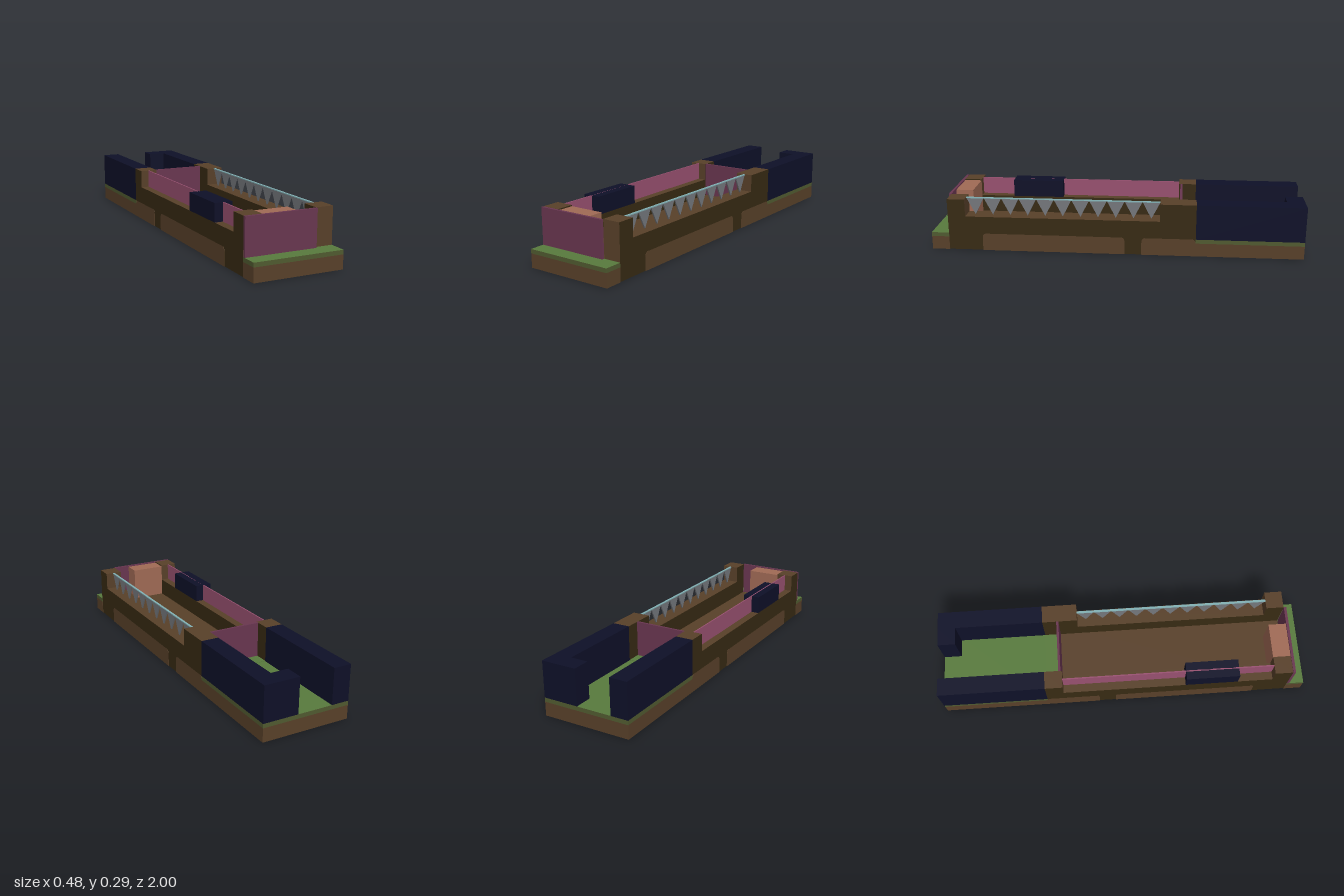
import * as THREE from 'three';

const mat = (name, color, side = THREE.FrontSide) => {
  const m = new THREE.MeshStandardMaterial({ color, side });
  m.name = name;
  return m;
};

export function createModel() {
  const root = new THREE.Group();
  root.name = 'gardenBridge';

  const earth = mat('earthBrown', 0x584029);
  const grass = mat('grassGreen', 0x587a3d);
  const grassSide = mat('grassEdge', 0x505a30);
  const dark = mat('darkWood', 0x372a13);
  const navy = mat('navyHedge', 0x0e1028);
  const plum = mat('plumPanel', 0x693650);
  const pink = mat('pinkPane', 0x985070);
  const clay = mat('clay', 0xa06a55);
  const grey = mat('greySpike', 0x74777c, THREE.DoubleSide);
  const cyan = mat('paleRail', 0x82b0b4);

  // The layout sits on a grid 5 cells wide, 3 high and 21 long
  const U = 2 / 21, W = 2.5 * U, IN = 1.5 * U, H = 3 * U;
  const backZ = -1 + 6 * U, frontZ = 1 - U;
  const timber = [dark, dark, earth, dark, earth, earth];

  // Box given by its low and high corners
  const box = (name, material, x0, x1, y0, y1, z0, z1) => {
    const mesh = new THREE.Mesh(new THREE.BoxGeometry(x1 - x0, y1 - y0, z1 - z0), material);
    mesh.position.set((x0 + x1) / 2, (y0 + y1) / 2, (z0 + z1) / 2);
    mesh.name = name;
    root.add(mesh);
    return mesh;
  };

  // Grassy earth at both ends
  for (const [name, z0, z1] of [['backLawn', -1, backZ], ['frontLawn', frontZ, 1]]) {
    box(name + 'Earth', earth, -W, W, 0, 0.073, z0, z1);
    box(name + 'Turf', [grassSide, grassSide, grass, grassSide, grassSide, grassSide], -W, W, 0.073, U, z0, z1);
  }

  // Timber deck between the lawns, grass reaching the rear panel
  box('deckBase', timber, -W + 0.002, W - 0.002, 0.001, U, backZ, frontZ);
  box('rearTurf', grass, -IN, IN, U, U + 0.002, backZ, -0.35);
  box('undersideStrip', earth, -W, -0.2, 0, 0.003, -0.05, 0.72);

  // Earth panels with rounded upper corners on both flanks
  const flankPanel = (zFront, zBack, side) => {
    const a = -zFront, b = -zBack, r = 0.025;
    const s = new THREE.Shape();
    s.moveTo(a, 0);
    s.lineTo(a, U - r);
    s.quadraticCurveTo(a, U, a + r, U);
    s.lineTo(b - r, U);
    s.quadraticCurveTo(b, U, b, U - r);
    s.lineTo(b, 0);
    const mesh = new THREE.Mesh(new THREE.ExtrudeGeometry(s, { depth: 0.003, bevelEnabled: false, curveSegments: 5 }), earth);
    mesh.rotation.y = Math.PI / 2;
    mesh.position.x = side > 0 ? W - 0.003 : -W;
    mesh.name = 'flankPanel';
    root.add(mesh);
  };

  for (const side of [-1, 1]) {
    const x0 = side > 0 ? IN : -W, x1 = side > 0 ? W : -IN;
    const postEnd = side > 0 ? backZ + 2 * U : backZ + U;
    flankPanel(0.72, -0.05, side);
    flankPanel(-0.14, backZ, side);
    // Low side wall, end posts and rear hedge
    box('sideWall', timber, x0, x1, U, 2 * U, postEnd, frontZ - U);
    box('frontPost', timber, x0, x1, U, H, frontZ - U, frontZ);
    box('rearPost', timber, x0, x1, U, H, backZ, postEnd);
    box('rearHedge', navy, x0, x1, U, H, -1, backZ);
  }
  box('hedgeCorner', navy, U / 2, IN, U, H, -1, -1 + U);

  // Panels across both ends of the deck
  box('frontPanel', plum, -W, IN, U, H, frontZ + 0.001, frontZ + 0.015);
  box('rearPanel', plum, -IN, IN, U, H, -0.352, -0.34);
  box('claySeat', clay, -IN, U / 2, U, H - 0.006, frontZ - U, frontZ);

  // Pane and hedge block on the right wall
  box('sidePane', pink, -0.194, -0.187, 2 * U, H, backZ + U, frontZ - U);
  box('wallHedge', navy, -W, -IN, 2 * U, H, 0.333, 0.333 + 3 * U);

  // Rail with hanging spikes on the left wall
  const railX = 2 * U, railBack = backZ + 2 * U;
  box('spikeRail', cyan, railX - 0.006, railX + 0.006, H - 0.005, H, railBack, frontZ - U);
  const tri = new THREE.Shape();
  tri.moveTo(-U / 2, H - 0.002);
  tri.lineTo(0, 2 * U);
  tri.lineTo(U / 2, H - 0.002);
  const spikeGeo = new THREE.ExtrudeGeometry(tri, { depth: 0.008, bevelEnabled: false });
  for (let i = 0; i < 11; i++) {
    const spike = new THREE.Mesh(spikeGeo, grey);
    spike.rotation.y = Math.PI / 2;
    spike.position.set(railX - 0.004, 0, railBack + (i + 0.5) * U);
    spike.name = 'spike';
    root.add(spike);
  }

  return root;
}
